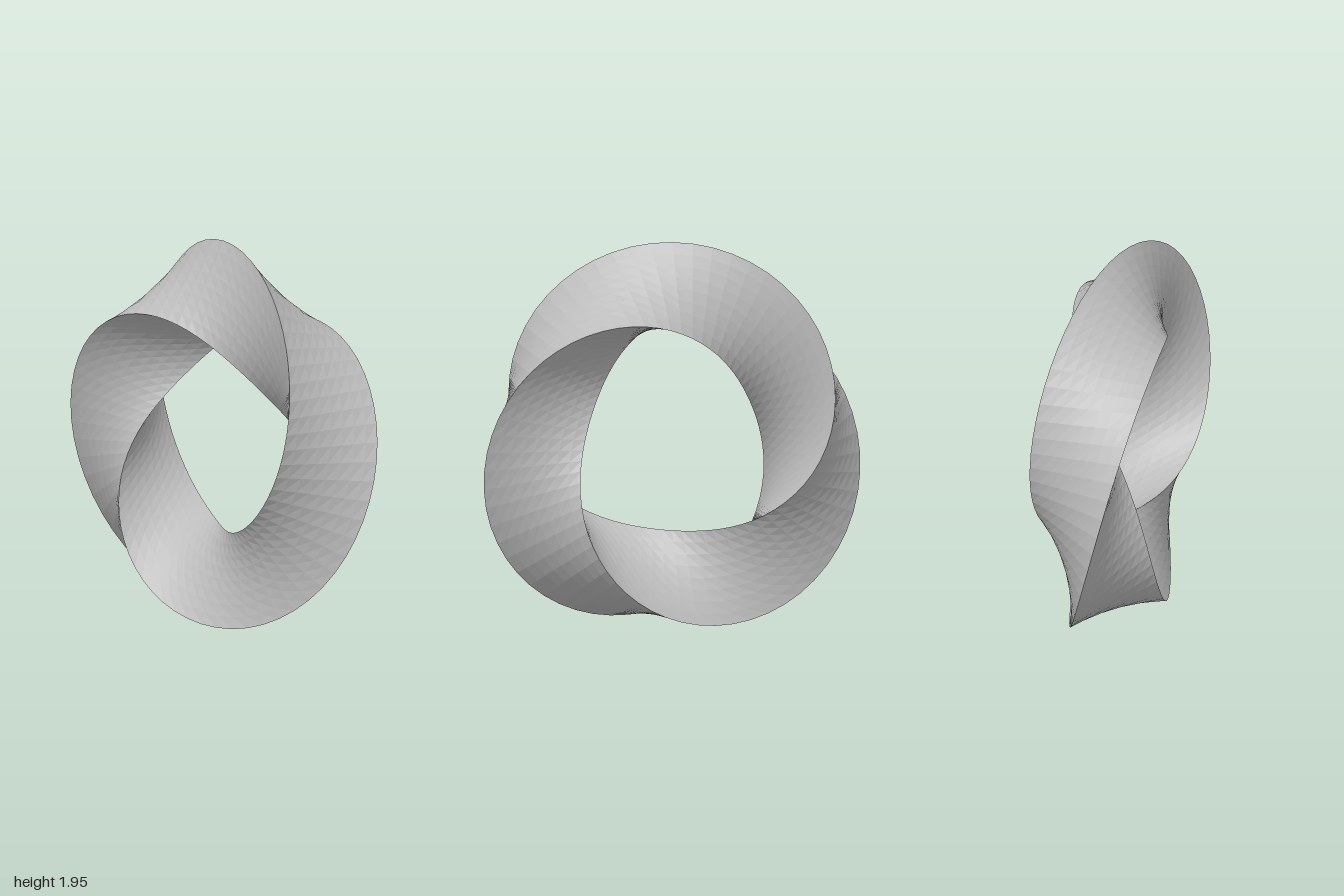
import * as THREE from 'three';

const RING = 0.7425;     // radius of the ring's centre line
const HALF = 0.29;       // centre of the triangular section to its corners
const CENTRE_Y = 0.918;
const SEGMENTS = 64;     // steps around the ring
const STEPS = 8;         // steps across each side of the triangle

// Point on the ring: phi runs clockwise from the top, j counts around the triangle.
function ringPoint(phi, j) {
  const side = Math.floor(j / STEPS);
  const t = (j % STEPS) / STEPS;
  // The section makes one full turn per lap
  const a = phi + side * 2 * Math.PI / 3;
  const b = a + 2 * Math.PI / 3;
  const out = HALF * THREE.MathUtils.lerp(Math.cos(a), Math.cos(b), t);
  const z = HALF * THREE.MathUtils.lerp(Math.sin(a), Math.sin(b), t);
  const r = RING + out;
  return [r * Math.sin(phi), CENTRE_Y + r * Math.cos(phi), z];
}

function twistedRingGeometry() {
  const around = 3 * STEPS;
  const positions = [];
  const indices = [];
  for (let i = 0; i < SEGMENTS; i++) {
    const next = (i + 1) % SEGMENTS;
    for (let j = 0; j < around; j++) {
      positions.push(...ringPoint(i / SEGMENTS * Math.PI * 2, j));
      const k = (j + 1) % around;
      const a = i * around + j, b = i * around + k;
      const c = next * around + j, d = next * around + k;
      indices.push(a, b, d, a, d, c);
    }
  }
  const indexed = new THREE.BufferGeometry();
  indexed.setAttribute('position', new THREE.Float32BufferAttribute(positions, 3));
  indexed.setIndex(indices);
  // Separate faces keep every facet flat
  const geometry = indexed.toNonIndexed();
  geometry.computeVertexNormals();
  return geometry;
}

export function createModel() {
  const group = new THREE.Group();
  group.name = 'twistedTriangularRing';
  const grey = new THREE.MeshStandardMaterial({ color: 0xbbbbbb, flatShading: true });
  grey.name = 'lightGrey';
  const ring = new THREE.Mesh(twistedRingGeometry(), grey);
  ring.name = 'twistedRing';
  group.add(ring);
  return group;
}
